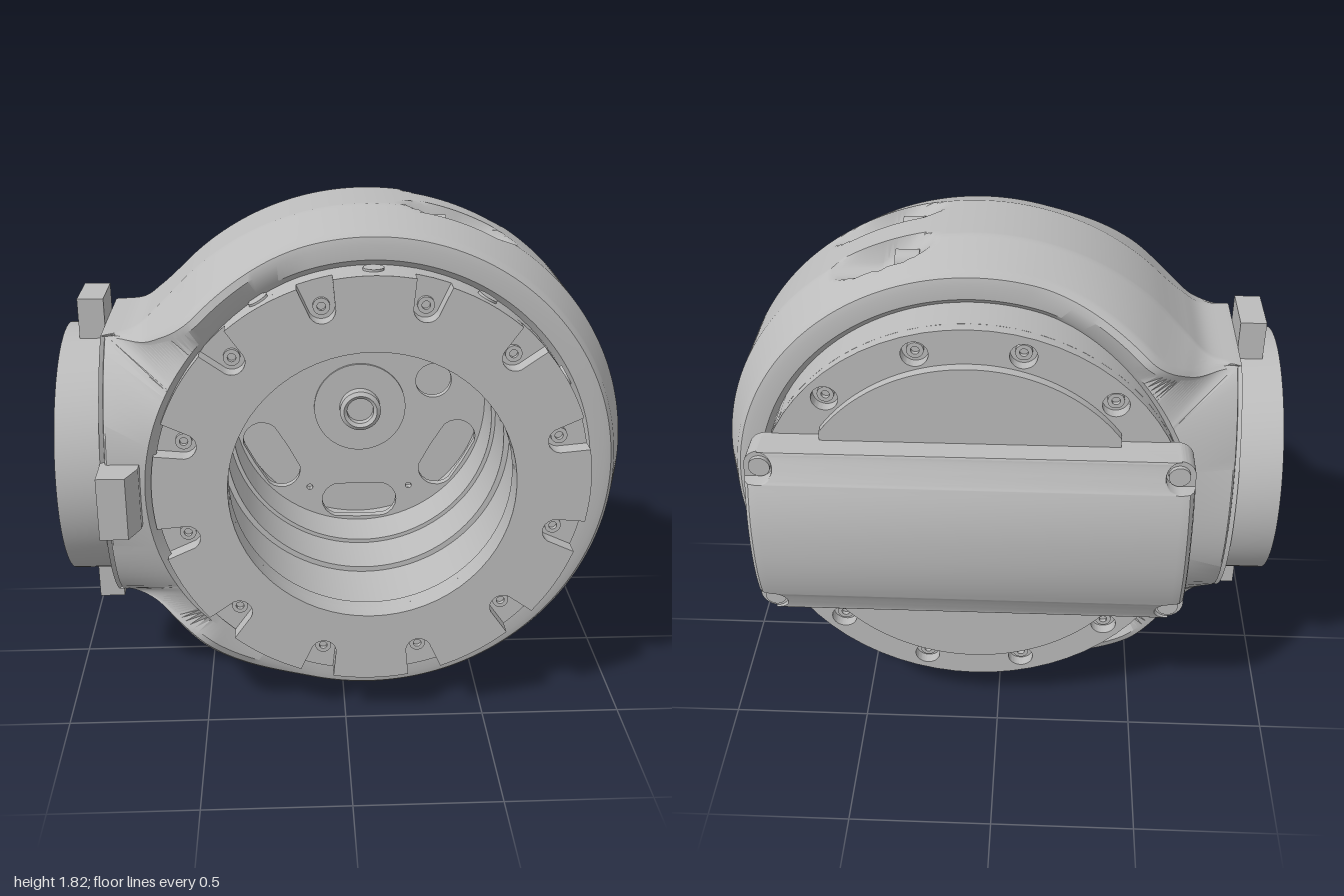
import * as THREE from 'three';
import { toCreasedNormals } from 'three/addons/utils/BufferGeometryUtils.js';

const V2 = (x, y) => new THREE.Vector2(x, y);
const V3 = (x, y, z) => new THREE.Vector3(x, y, z);
const lerp = THREE.MathUtils.lerp;
const smooth = THREE.MathUtils.smoothstep;
const DEG = Math.PI / 180;
const CY = 0.91, CX = 0.09, MID = 0.05;

export function createModel() {
  const model = new THREE.Group();
  const grey = new THREE.MeshStandardMaterial({ color: 0xbcbcbc });
  grey.name = 'casting grey';

  function add(parent, name, geometry, x = 0, y = 0, z = 0) {
    const mesh = new THREE.Mesh(geometry, grey);
    mesh.name = name;
    mesh.position.set(x, y, z);
    parent.add(mesh);
    return mesh;
  }
  function group(name, x, y, z) {
    const g = new THREE.Group();
    g.name = name;
    g.position.set(x, y, z);
    model.add(g);
    return g;
  }
  // Surface through rows of points
  function loft(rows, closed, crease = 0.6) {
    const n = rows[0].length, idx = [];
    const last = closed ? rows.length : rows.length - 1;
    for (let i = 0; i < last; i++) for (let j = 0; j < n - 1; j++) {
      const a = i * n + j, c = ((i + 1) % rows.length) * n + j;
      idx.push(a, a + 1, c, a + 1, c + 1, c);
    }
    const g = new THREE.BufferGeometry().setFromPoints(rows.flat());
    g.setIndex(idx);
    return toCreasedNormals(g, crease);
  }
  const extrude = (shape, depth, bevel = 0) => toCreasedNormals(new THREE.ExtrudeGeometry(shape, {
    depth, curveSegments: 32, bevelEnabled: bevel > 0, bevelSize: bevel, bevelThickness: bevel,
    bevelOffset: -bevel, bevelSegments: 3 }), 0.6);
  const lathe = (pts) => toCreasedNormals(
    new THREE.LatheGeometry(pts.map(p => V2(...p)), 96).rotateX(Math.PI / 2), 0.5);
  const circle = (x, y, r) => new THREE.Path().absarc(x, y, r, 0, Math.PI * 2, true);
  const disc = (r) => new THREE.Shape().absarc(0, 0, r, 0, Math.PI * 2, false);
  const polar = (r, a) => V2(r * Math.cos(a), r * Math.sin(a));

  const body = group('jointBody', CX, CY, 0);

  // Housing: rounded ring whose outline flares into the side neck
  const neck = new THREE.CatmullRomCurve3([V3(-0.62, 0.666, 0), V3(-0.73, 0.56, 0),
    V3(-0.80, 0.505, 0), V3(-0.91, 0.485, 0)]).getPoints(24);
  const half = [];
  const join = Math.atan2(0.666, -0.62);
  for (let i = 0; i < 110; i++) half.push(polar(0.91, join * i / 110));
  neck.forEach(p => half.push(V2(p.x, p.y)));
  for (let i = 1; i <= 14; i++) half.push(V2(-0.91, 0.485 * (1 - i / 14)));
  const outline = half.concat(half.slice(1, -1).reverse().map(p => V2(p.x, -p.y)));

  const halfWidth = (x) => 0.322 + 0.143 * smooth(-x, 0.22, 0.85);
  // Screw pockets sunk into the rim, running along x
  function sink(p) {
    if (p.x < 0.1 || p.x > 0.6) return p;
    for (const z of [-0.105, 0.155]) {
      const d = Math.abs(p.z - z);
      if (d >= 0.065) continue;
      const floor = 0.82 - Math.sqrt(0.065 ** 2 - d * d) + Math.max(0, 0.31 - p.x) * 0.75;
      if (Math.abs(p.y) > floor) p.y = Math.sign(p.y) * floor;
    }
    return p;
  }
  const housingRows = outline.map(o => {
    const R = o.length(), dir = o.clone().normalize();
    const k = smooth(-o.x, 0.62, 0.91);
    const cap = 0.465 * Math.sqrt(1 - 0.75 * Math.min(1, Math.abs(o.y) / 0.49) ** 2);
    const flat = lerp(0.135, cap - 0.015, k);
    const shoulder = lerp(halfWidth(o.x), cap, k);
    const inset = lerp(1, 0.25, k);
    const side = [[0.735, halfWidth(dir.x * 0.745) - 0.03], [0.765, halfWidth(dir.x * 0.765)],
      [R - 0.095 * inset, shoulder], [R - 0.07 * inset, shoulder - 0.006], [R - 0.055 * inset, shoulder - 0.025]];
    for (let i = 1; i <= 12; i++) {
      side.push([lerp(R - 0.055 * inset, R, i / 12), lerp(shoulder - 0.025, flat, i / 12)]);
    }
    const profile = [...side];
    for (let i = 1; i < 22; i++) profile.push([R, flat * (1 - i / 11)]);
    side.slice().reverse().forEach(([r, z]) => profile.push([r, -z]));
    return profile.map(([r, z]) => sink(V3(dir.x * r, dir.y * r, z + MID + 0.01 * (1 - k))));
  });
  add(body, 'housing', loft(housingRows, true));

  // Screw heads in the rim pockets
  for (const s of [-1, 1]) for (const z of [-0.105, 0.155]) {
    const head = new THREE.CylinderGeometry(0.045, 0.045, 0.08, 20).rotateZ(Math.PI / 2);
    add(body, 'rimScrew', head, 0.22, s * 0.815, z);
  }

  // Drum with a stepped bore
  add(body, 'drum', lathe([[0, -0.385], [0.745, -0.385], [0.745, 0.44], [0.49, 0.44], [0.49, 0.4],
    [0.53, 0.4], [0.53, 0.1], [0.51, 0.1], [0.51, -0.1], [0.495, -0.1], [0.495, -0.365], [0, -0.365]]));

  // Front ring with twelve open screw notches
  const edge = [];
  for (let k = 0; k < 12; k++) {
    const a = (15 + 30 * k) * DEG;
    const put = (u, v) => edge.push(V2(u, v).rotateAround(V2(0, 0), a));
    put(0.743, -0.06);
    for (let i = 0; i <= 10; i++) {
      const t = Math.PI * i / 10;
      put(0.655 - 0.045 * Math.sin(t), -0.045 * Math.cos(t));
    }
    put(0.743, 0.06);
    for (let i = 1; i < 8; i++) edge.push(polar(0.745, a + (5 + 20 * i / 8) * DEG));
  }
  const frontShape = new THREE.Shape(edge);
  frontShape.holes.push(circle(0, 0, 0.49));
  add(body, 'frontRing', extrude(frontShape, 0.06), 0, 0, 0.44);

  // Back ring with round screw seats
  const backShape = disc(0.745);
  for (let k = 0; k < 12; k++) {
    const p = polar(0.675, (15 + 30 * k) * DEG);
    backShape.holes.push(circle(p.x, p.y, 0.045));
  }
  add(body, 'backRing', extrude(backShape, 0.04), 0, 0, -0.425);

  // Screws on front, back and around the drum wall
  for (let k = 0; k < 12; k++) {
    const a = (15 + 30 * k) * DEG, f = polar(0.655, a), b = polar(0.675, a);
    const ring = disc(0.028);
    ring.holes.push(circle(0, 0, 0.014));
    add(body, 'frontScrew', extrude(ring, 0.015), f.x, f.y, 0.44);
    add(body, 'backScrew', extrude(ring, 0.015), b.x, b.y, -0.4);
    const side = polar(0.742, a + 15 * DEG);
    const bolt = new THREE.CylinderGeometry(0.035, 0.035, 0.02, 20).rotateZ(Math.PI / 2);
    add(body, 'drumBolt', bolt, side.x, side.y, 0.42).rotation.z = a + 15 * DEG;
  }

  // Bore floor with slots, holes and hub
  const floor = disc(0.5);
  for (const deg of [90, 150, 210, 270, 330]) {
    const pts = [];
    for (let i = 0; i <= 20; i++) {
      const t = Math.PI * 2 * i / 20;
      const v = 0.075 * Math.sin(t) + (i > 0 && i < 10 ? 0.075 : i > 10 && i < 20 ? -0.075 : 0);
      pts.push(V2(0.405 + 0.075 * Math.cos(t), v).rotateAround(V2(0, 0), deg * DEG));
    }
    floor.holes.push(new THREE.Path(pts.slice(0, -1)));
  }
  floor.holes.push(circle(0.29, 0.105, 0.07));
  for (const sx of [-1, 1]) for (const sy of [-1, 1]) floor.holes.push(circle(sx * 0.2, sy * 0.345, 0.012));
  add(body, 'boreFloor', extrude(floor, 0.03), 0, 0, -0.31);
  add(body, 'hub', lathe([[0.18, -0.29], [0.18, -0.27], [0.08, -0.27], [0.08, -0.23], [0.065, -0.22],
    [0.052, -0.23], [0.052, -0.26], [0, -0.26]]));

  // Raised back plate, a disc trimmed straight at both sides
  const trim = Math.acos(0.5 / 0.62);
  const plate = new THREE.Shape().absarc(0, 0, 0.62, trim, Math.PI - trim, false);
  plate.absarc(0, 0, 0.62, Math.PI + trim, 2 * Math.PI - trim, false);
  add(body, 'backPlate', extrude(plate, 0.04), 0, 0, -0.46);

  // Back cover: base slab and domed lid with bitten corners
  const base = new THREE.Shape();
  for (const [sx, sy, start] of [[1, 1, 0], [-1, 1, 1], [-1, -1, 2], [1, -1, 3]]) {
    base.absarc(sx * 0.685, sy * 0.275, 0.06, start * Math.PI / 2, (start + 1) * Math.PI / 2, false);
  }
  add(body, 'coverBase', extrude(base, 0.11), 0, 0, -0.53);
  const steps = [];
  for (let i = 0; i <= 12; i++) steps.push(0.285 - 0.05 * Math.cos(Math.PI * i / 12));
  const inner = [];
  for (let i = 0; i <= 24; i++) inner.push(0.2345 * (i / 12 - 1));
  const ys = [...steps.map(d => -d).reverse(), ...inner, ...steps];
  const lidRow = (d, collapsed) => {
    const a = Math.abs(d), bite = a >= 0.2349;
    const X = bite ? 0.695 - Math.sqrt(Math.max(0, 0.05 ** 2 - (a - 0.285) ** 2)) : 0.745;
    const b = bite ? 0.006 : 0.05, top = -0.625 + 0.085 * (a / 0.335) ** 2.2;
    const right = [[X, -0.44], [X, top + b], [X - b * 0.12, top + b * 0.5], [X - b * 0.4, top + b * 0.15], [X - b, top]];
    const all = right.concat(right.slice().reverse().map(([x, z]) => [-x, z]));
    return all.map(([x, z]) => V3(x, d, collapsed ? -0.44 : z));
  };
  add(body, 'coverLid', loft([lidRow(-0.335, true), ...ys.map(d => lidRow(d)), lidRow(0.335, true)], false));
  for (const sx of [-1, 1]) for (const sy of [-1, 1]) {
    const screw = new THREE.CylinderGeometry(0.036, 0.036, 0.02, 20).rotateX(Math.PI / 2);
    add(body, 'coverScrew', screw, sx * 0.69, sy * 0.28, -0.535);
  }

  // Side flange, drawn in z and y and extruded towards -x
  const flange = group('sideFlange', -0.82, CY, MID + 0.005);
  const along = (shape, depth) => extrude(shape, depth).rotateY(-Math.PI / 2);
  const flangeShape = disc(0.45);
  flangeShape.holes.push(circle(0, 0, 0.2));
  for (let k = 0; k < 8; k++) {
    const p = polar(0.34, k * 45 * DEG);
    flangeShape.holes.push(circle(p.x, p.y, k % 4 === 2 ? 0.075 : 0.043));
  }
  add(flange, 'flangeDisc', along(flangeShape, 0.15));
  const lip = disc(0.23);
  lip.holes.push(circle(0, 0, 0.19));
  add(flange, 'flangeLip', along(lip, 0.18));
  add(flange, 'flangeSeat', along(disc(0.44), 0.02));

  // Key tabs above and below the flange, and one in front of the neck
  for (const s of [-1, 1]) {
    add(flange, 'flangeTab', new THREE.BoxGeometry(0.09, 0.2, 0.2), -0.045, s * 0.48, 0);
  }
  const tab = new THREE.Shape([V2(-0.82, 0.4), V2(-0.66, 0.4), V2(-0.69, 0.51), V2(-0.69, 0.54),
    V2(-0.725, 0.62), V2(-0.82, 0.62)]);
  const tabGeo = extrude(tab, 0.22).rotateX(Math.PI / 2);
  // Rotation sends the drawn height to +z and the depth downward
  add(model, 'frontTab', tabGeo, 0, 1.02, 0);

  return model;
}
